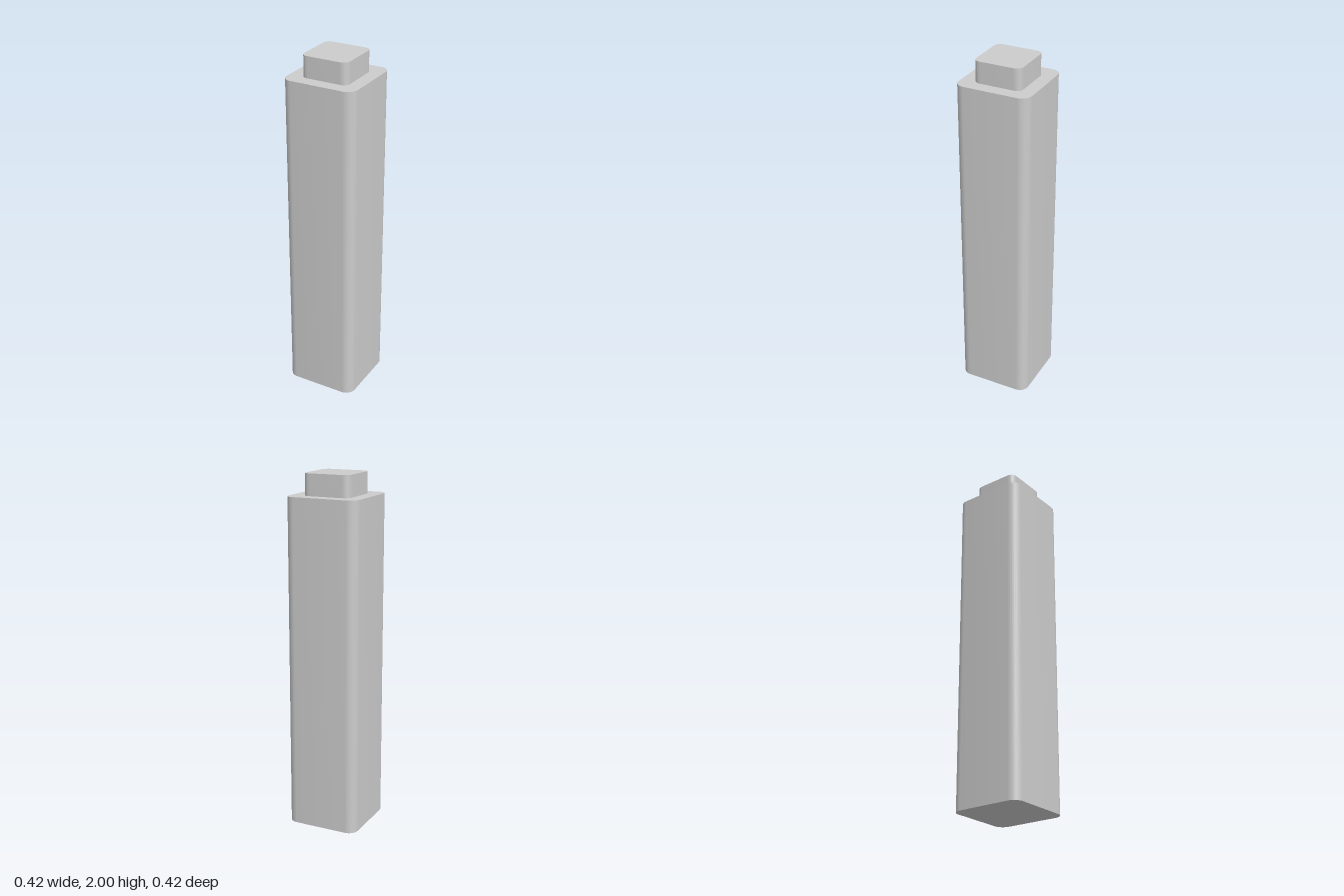
import * as THREE from 'three';
import { toCreasedNormals } from 'three/addons/utils/BufferGeometryUtils.js';

const material = new THREE.MeshStandardMaterial({ color: 0xcccccc });

// Square outline with rounded corners, centred on the origin
function roundedSquare(half, radius) {
  const shape = new THREE.Shape();
  const c = half - radius;
  for (let i = 0; i < 4; i++) {
    const a = (i * Math.PI) / 2;
    const sx = i === 0 || i === 3 ? 1 : -1;
    const sy = i < 2 ? 1 : -1;
    shape.absarc(sx * c, sy * c, radius, a, a + Math.PI / 2, false);
  }
  shape.closePath();
  return shape;
}

// Upright prism with smooth corners and sharp rims, from y = bottom to y = top
function prism(name, half, radius, bottom, top) {
  const extruded = new THREE.ExtrudeGeometry(roundedSquare(half, radius), {
    depth: top - bottom,
    bevelEnabled: false,
    curveSegments: 12,
  });
  extruded.rotateX(-Math.PI / 2).translate(0, bottom, 0);
  const mesh = new THREE.Mesh(toCreasedNormals(extruded, Math.PI / 6), material);
  mesh.name = name;
  return mesh;
}

export function createModel() {
  const group = new THREE.Group();
  group.name = 'squareBottle';
  group.add(
    prism('body', 0.21, 0.056, 0, 1.88),
    prism('cap', 0.135, 0.037, 1.88, 2),
  );
  return group;
}
